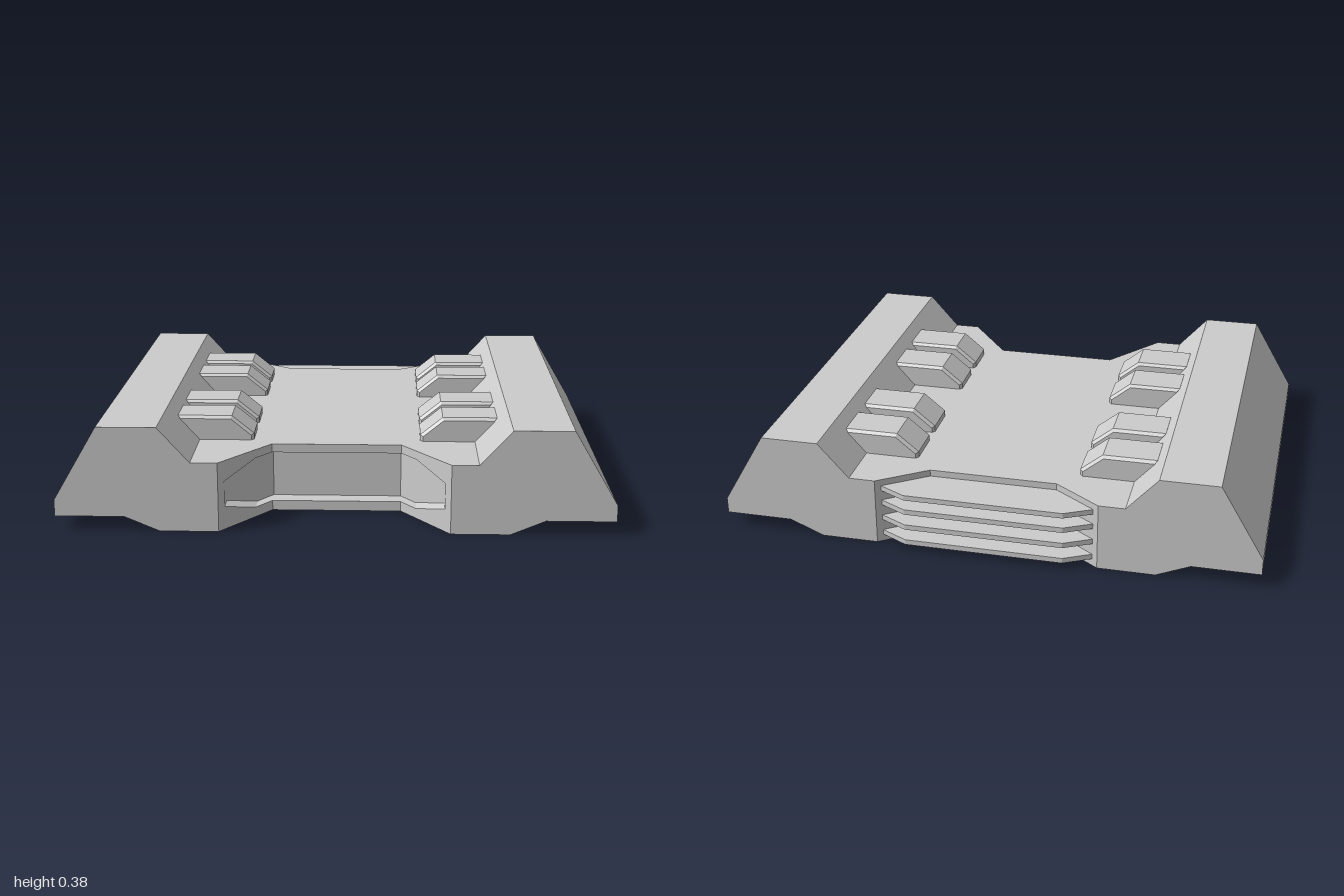
import * as THREE from 'three';

const material = new THREE.MeshStandardMaterial({ color: 0xcccccc, flatShading: true });

const shapeOf = (points) => new THREE.Shape(points.map(([x, y]) => new THREE.Vector2(x, y)));

// Profile in x/y, extruded from z0 to z1
function extrudeZ(points, z0, z1) {
  return new THREE.ExtrudeGeometry(shapeOf(points), { depth: z1 - z0, bevelEnabled: false }).translate(0, 0, z0);
}

// Outline in x/z, extruded from y0 to y1
function extrudeY(points, y0, y1) {
  const shape = shapeOf(points.map(([x, z]) => [x, -z]));
  return new THREE.ExtrudeGeometry(shape, { depth: y1 - y0, bevelEnabled: false })
    .rotateX(-Math.PI / 2).translate(0, y0, 0);
}

// Full symmetric outline from its +x half
const mirrored = (half) => [...half, ...half.map(([x, y]) => [-x, y]).reverse()];

export function createModel() {
  const group = new THREE.Group();
  const add = (name, geometry) => {
    const mesh = new THREE.Mesh(geometry, material);
    mesh.name = name;
    group.add(mesh);
  };

  const front = 0.765, back = -0.73;
  const wide = 0.413, narrow = 0.238; // half widths of the notches
  const notchFront = 0.53, notchBack = -0.605;
  const deckY = 0.257, recess = 0.065;

  // Deck between the side rails, notched at both ends
  add('deck', extrudeY(mirrored([
    [narrow, notchBack], [wide, back],
    [wide, front - recess], [narrow, notchFront - recess],
  ]), 0, deckY));

  // Frame around the front recess: straight bars, then slanted cheeks
  const low = 0.037, high = 0.225;
  for (const [name, y0, y1] of [['lowerFrontLip', 0, low], ['upperFrontLip', high, deckY]]) {
    add(name, extrudeZ([[-narrow, y0], [narrow, y0], [narrow, y1], [-narrow, y1]],
      notchFront - recess, notchFront));
  }

  for (const s of [1, -1]) {
    const side = s > 0 ? 'left' : 'right';
    const flip = (points) => points.map(([x, y]) => [s * x, y]);

    const cheek = extrudeZ(flip([
      [narrow, 0], [wide, 0], [wide, deckY], [narrow, deckY], [narrow, high],
      [0.293, high], [0.393, 0.18], [0.393, 0.085], [0.293, low], [narrow, low],
    ]), notchFront - recess, notchFront);
    const pos = cheek.attributes.position;
    for (let i = 0; i < pos.count; i++) {
      const t = (Math.abs(pos.getX(i)) - narrow) / (wide - narrow);
      pos.setZ(i, pos.getZ(i) + t * (front - notchFront));
    }
    cheek.computeVertexNormals();
    add(side + 'FrontCheek', cheek);

    // Raised side rail
    add(side + 'Rail', extrudeZ(flip([
      [wide, 0], [0.625, 0], [0.75, 0.053], [1, 0.053], [1, 0.113],
      [0.84, 0.385], [0.625, 0.385], [0.51, deckY], [wide, deckY],
    ]), back, front));

    // Chamfered blocks along the rail
    const chamfer = 0.012, width = 0.165;
    for (const z of [-0.445, -0.225, 0.18, 0.4]) {
      const block = new THREE.ExtrudeGeometry(shapeOf(flip([
        [0.308, 0.23], [0.308, 0.28], [0.39, 0.347], [0.59, 0.347], [0.59, 0.23],
      ])), {
        depth: width - 2 * chamfer, bevelThickness: chamfer,
        bevelSize: 0.01, bevelOffset: -0.01, bevelSegments: 1,
      });
      add(side + 'Block', block.translate(0, 0, z - width / 2 + chamfer));
    }
  }

  // Stacked fins in the rear notch
  for (const y of [0.037, 0.1, 0.163, 0.222]) {
    add('rearFin', extrudeY(mirrored([
      [0.293, -0.768], [0.393, -0.716], [0.36, -0.66], [narrow, -0.58],
    ]), y - 0.01, y + 0.01));
  }

  return group;
}
